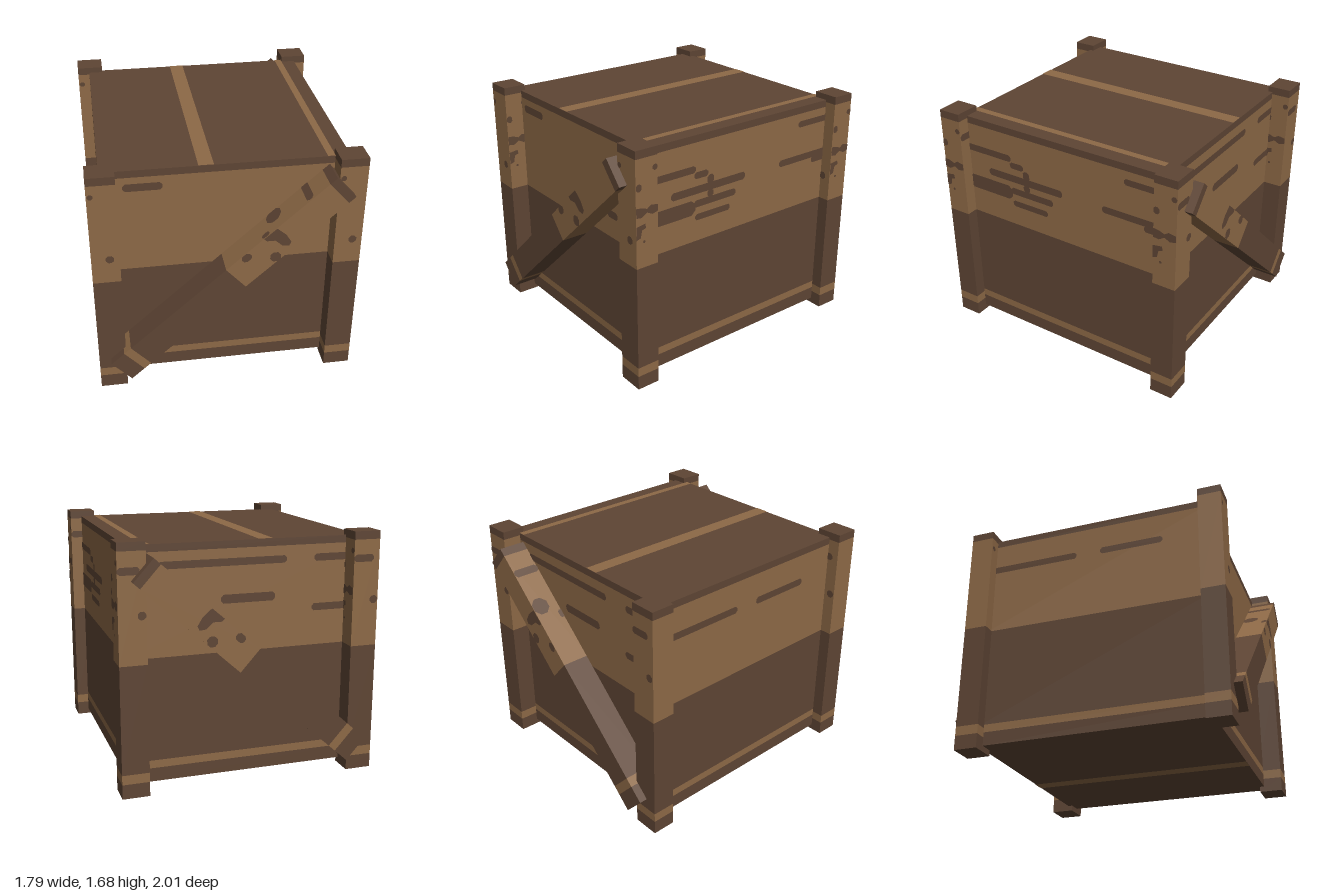
import * as THREE from 'three';

const dark = new THREE.MeshStandardMaterial({ color: 0x5e4534 });
dark.name = 'dark wood';
const light = new THREE.MeshStandardMaterial({ color: 0x8d6946 });
light.name = 'light wood';

const H = Math.PI / 2;
const TURN = {
  front: [0, 0, 0], right: [0, H, 0], back: [0, Math.PI, 0],
  left: [0, -H, 0], top: [-H, 0, 0], bottom: [H, 0, 0],
};

// Box stacked from bands of alternating colour; cuts run along the given axis
function bandedBox(name, axis, cuts, wide, deep) {
  const group = new THREE.Group();
  group.name = name;
  for (let i = 0; i < cuts.length - 1; i++) {
    const len = cuts[i + 1] - cuts[i];
    const size = axis === 'y' ? [wide, len, deep] : [len, wide, deep];
    const band = new THREE.Mesh(new THREE.BoxGeometry(...size), i % 2 ? light : dark);
    band.position[axis] = (cuts[i] + cuts[i + 1]) / 2;
    band.name = name + 'Band';
    group.add(band);
  }
  return group;
}

// Outline of a strip with clipped corners
function strip([a0, a1, b0, b1], c = 0.3) {
  const k = Math.min(a1 - a0, b1 - b0) * c;
  return [[a0 + k, b0], [a1 - k, b0], [a1, b0 + k], [a1, b1 - k],
    [a1 - k, b1], [a0 + k, b1], [a0, b1 - k], [a0, b0 + k]];
}
const spot = (a, b, r) => strip([a - r, a + r, b - r, b + r]);

// Flat marks laid just above one face of a part
function marks(parent, name, face, distance, outlines, material = dark) {
  const shapes = outlines.map(o => new THREE.Shape(o.map(p => new THREE.Vector2(...p))));
  const mesh = new THREE.Mesh(new THREE.ShapeGeometry(shapes), material);
  mesh.name = name;
  mesh.rotation.set(...TURN[face]);
  mesh.translateZ(distance + 0.003);
  parent.add(mesh);
}

function makeBody() {
  const s = 0.81;
  const body = bandedBox('body', 'y', [0.04, 0.135, 0.19, 0.9, 1.595, 1.645], 2 * s, 2 * s);
  // Plank seams on lid and floor
  marks(body, 'lidStripes', 'top', 1.645,
    [[-0.18, -0.08], [0.66, 0.71]].map(([a, b]) => strip([a, b, -s, s], 0)), light);
  marks(body, 'floorStripe', 'bottom', -0.04, [strip([0.08, 0.18, -s, s], 0)], light);
  // Worn grain on the walls
  marks(body, 'frontGrain', 'front', s, [
    strip([-0.665, -0.41, 1.495, 1.55]), strip([0.39, 0.505, 1.045, 1.1]),
    [[0.62, 1.26], [0.66, 1.24], [0.67, 1.2], [0.71, 1.195], [0.71, 1.34], [0.66, 1.29]],
  ]);
  marks(body, 'rightGrain', 'right', s, [
    [-0.8, -0.41, 1.39, 1.44], [-0.42, -0.305, 1.345, 1.392], [-0.31, -0.255, 1.285, 1.35],
    [-0.61, 0.02, 1.24, 1.295], [-0.31, -0.255, 1.19, 1.245], [-0.42, -0.06, 1.145, 1.195],
    [-0.8, -0.41, 1.095, 1.2], [-0.41, -0.11, 1.05, 1.095],
    [0.51, 0.8, 1.495, 1.54], [0.34, 0.8, 1.24, 1.29], [0.66, 0.8, 1.2, 1.245],
  ].map(r => strip(r)));
  marks(body, 'backGrain', 'back', s, [
    [-0.6, 0.28, 1.48, 1.53], [0.48, 0.8, 1.48, 1.53],
    [-0.18, 0.2, 1.23, 1.29], [0.47, 0.8, 1.14, 1.19],
  ].map(r => strip(r)));
  marks(body, 'leftGrain', 'left', s, [
    [-0.8, -0.14, 1.37, 1.42], [0.04, 0.5, 1.37, 1.42],
  ].map(r => strip(r)));
  return body;
}

function makePost() {
  const w = 0.185, d = 0.165;
  const post = bandedBox('cornerPost', 'y', [0, 0.1, 0.165, 0.9, 1.63, 1.685], w, d);
  marks(post, 'postFrontSpots', 'front', d / 2, [spot(-0.067, 1.552, 0.018), spot(0.028, 1.08, 0.027)]);
  marks(post, 'postRightSpots', 'right', w / 2, [
    strip([-0.082, -0.04, 1.42, 1.47]), spot(0.062, 1.555, 0.019),
    [[-0.082, 1.25], [-0.04, 1.245], [0, 1.27], [0.04, 1.25], [0.082, 1.26],
      [0.082, 1.305], [0.03, 1.315], [0, 1.295], [-0.04, 1.31], [-0.082, 1.315]],
    [[-0.082, 1.1], [-0.05, 1.11], [-0.04, 1.16], [-0.01, 1.17], [-0.015, 1.2], [-0.082, 1.19]],
    spot(-0.025, 1.08, 0.009),
  ]);
  marks(post, 'postBackSpots', 'back', d / 2, [
    strip([-0.0925, 0.05, 1.48, 1.53]), spot(0.06, 1.22, 0.027),
  ]);
  return post;
}

function makeBrace() {
  const h = 0.1;
  const brace = bandedBox('diagonalBrace', 'x', [-1.003, -0.882, -0.818, 0.058, 0.943, 1.003], 0.2, 0.2);
  const knot = [[0.388, 0.1], [0.39, 0.074], [0.432, 0.036], [0.439, -0.028],
    [0.468, -0.061], [0.498, -0.05], [0.511, 0.016], [0.5, 0.098]];
  const wear = [knot, spot(0.351, -0.063, 0.036), strip([0.18, 0.25, 0.045, 0.1])];
  marks(brace, 'braceFrontKnots', 'front', h, wear);
  marks(brace, 'braceBackKnots', 'back', h, wear.map(o => o.map(([a, b]) => [-a, b]).reverse()));
  marks(brace, 'braceTopKnots', 'top', h, [
    strip([0.45, 0.57, -0.02, 0.1]), strip([0.76, 0.815, -0.09, 0.1]), strip([0.38, 0.44, -0.1, -0.06]),
  ]);
  return brace;
}

export function createModel() {
  const crate = new THREE.Group();
  crate.name = 'woodenCrate';
  crate.add(makeBody());

  // Four identical corner posts
  for (const x of [-1, 1]) for (const z of [-1, 1]) {
    const post = makePost();
    post.position.set(x * 0.8025, 0, z * 0.86);
    crate.add(post);
  }

  // Diagonal braces on front and back, both rising toward +x
  for (const z of [-1, 1]) {
    const brace = makeBrace();
    brace.position.set(-0.003, 0.843, z * 0.9);
    brace.rotation.z = 0.734;
    crate.add(brace);
  }
  return crate;
}
